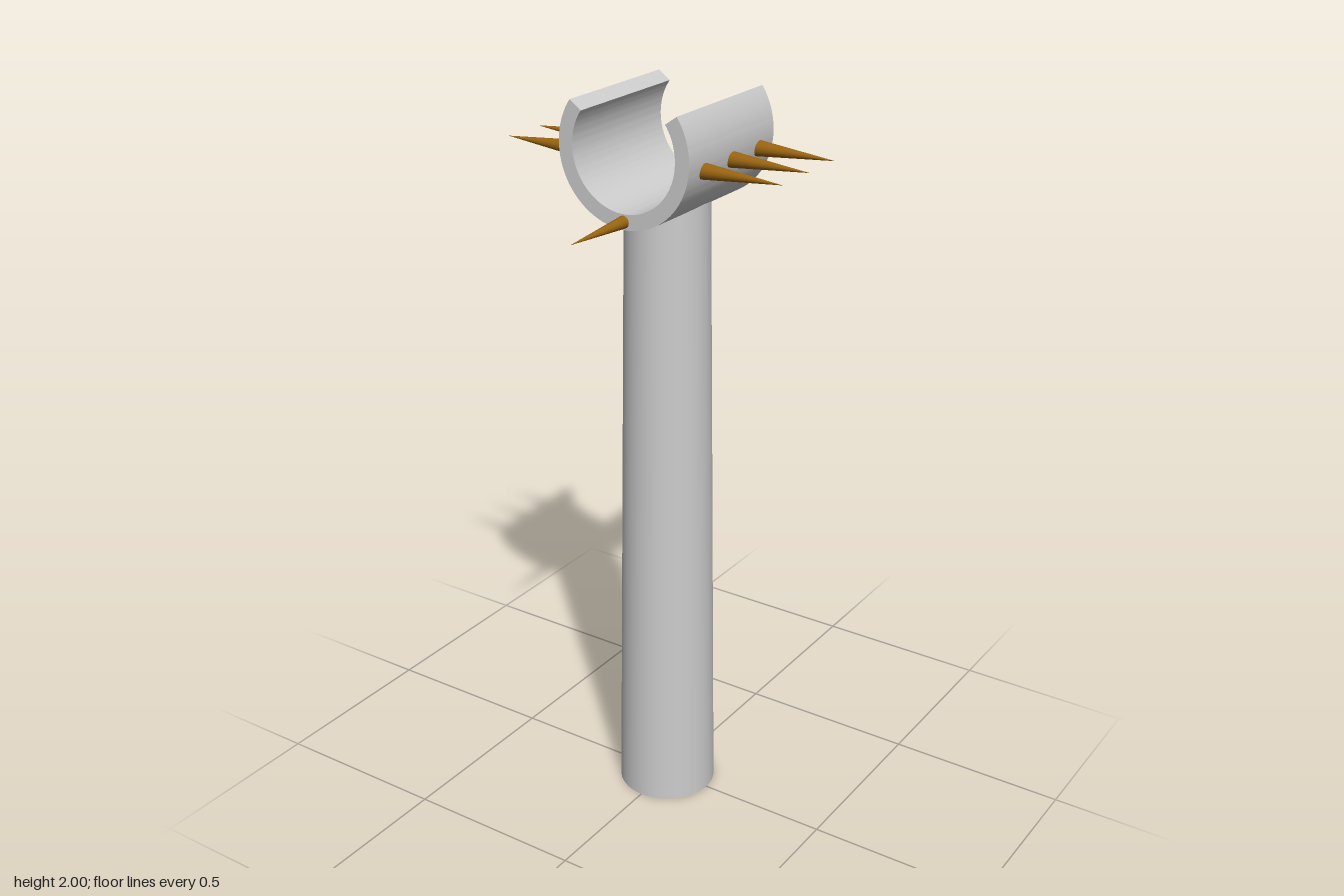
import * as THREE from 'three';
import { toCreasedNormals } from 'three/addons/utils/BufferGeometryUtils.js';

export function createModel() {
  const group = new THREE.Group();
  const grey = new THREE.MeshStandardMaterial({ color: 0xcccccc });
  const brown = new THREE.MeshStandardMaterial({ color: 0x996410 });

  const add = (name, geometry, material) => {
    const mesh = new THREE.Mesh(geometry, material);
    mesh.name = name;
    group.add(mesh);
    return mesh;
  };

  // Tapered round post, its top hidden inside the cradle wall
  const postHeight = 1.735;
  add('post', new THREE.CylinderGeometry(0.11, 0.135, postHeight, 48), grey)
    .position.y = postHeight / 2;

  // Open C-shaped cradle, extruded from front to back
  const outer = 0.19, inner = 0.15, depth = 0.386, centreY = 1.89;
  const tip = THREE.MathUtils.degToRad(35.5);
  const section = new THREE.Shape();
  section.absarc(0, 0, outer, Math.PI - tip, Math.PI * 2 + tip, false);
  section.absarc(0, 0, inner, Math.PI * 2 + tip, Math.PI - tip, true);
  const cradle = new THREE.ExtrudeGeometry(section, { depth, bevelEnabled: false, curveSegments: 48 });
  cradle.translate(0, centreY, -depth / 2);
  add('cradle', toCreasedNormals(cradle, 0.6), grey);

  // Spike pointing along a direction, from its base to its tip
  const up = new THREE.Vector3(0, 1, 0);
  const addSpike = (name, base, end, radius) => {
    const axis = end.clone().sub(base);
    const spike = add(name, new THREE.ConeGeometry(radius, axis.length(), 20), brown);
    spike.position.copy(base).add(end).multiplyScalar(0.5);
    spike.quaternion.setFromUnitVectors(up, axis.normalize());
  };

  for (const side of [1, -1]) {
    // Three spikes on each side wall
    for (const z of [-0.127, -0.002, 0.123]) {
      addSpike(side > 0 ? 'leftSpike' : 'rightSpike',
        new THREE.Vector3(side * 0.17, 1.86, z),
        new THREE.Vector3(side * 0.404, 1.86, z), 0.022);
    }
    // One spike on each end face, below the opening
    addSpike(side > 0 ? 'frontSpike' : 'backSpike',
      new THREE.Vector3(0, 1.72, side * 0.17),
      new THREE.Vector3(0, 1.72, side * 0.41), 0.018);
  }

  return group;
}
